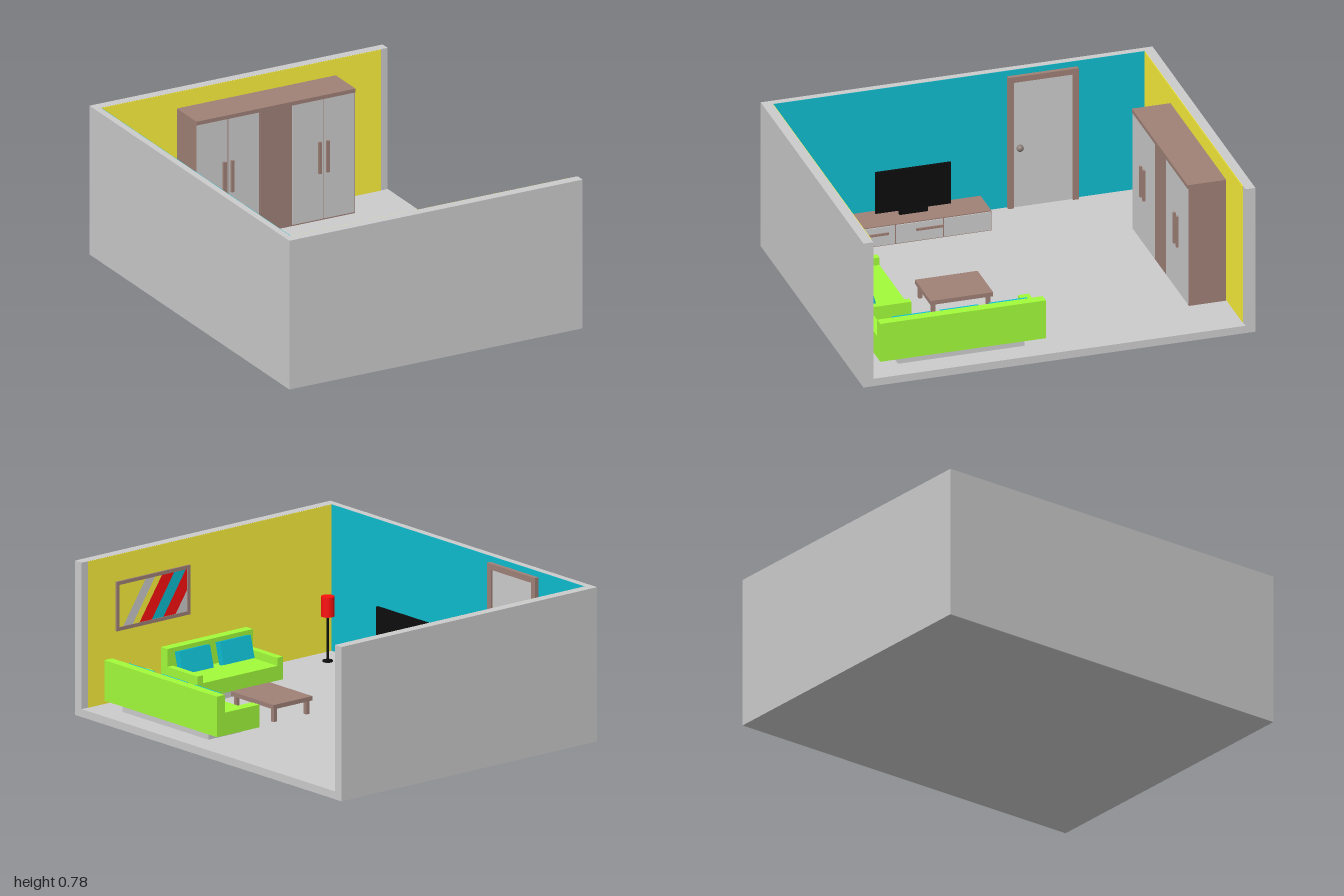
import * as THREE from 'three';

const mat = (color) => new THREE.MeshStandardMaterial({ color, roughness: 0.8 });
const GREY = mat(0xcccccc), TEAL = mat(0x0fbcd0), YELLOW = mat(0xfbf23c), GREEN = mat(0xa2fb3a);
const BROWN = mat(0x9f8177), RED = mat(0xfb1010), BLACK = mat(0x0d0d0d), METAL = mat(0x8d7f78);

const FLOOR = 0.04, TOP = 0.78;

// Box given by its min and max along each axis
function box(parent, name, material, [x0, x1], [y0, y1], [z0, z1]) {
  const mesh = new THREE.Mesh(new THREE.BoxGeometry(x1 - x0, y1 - y0, z1 - z0), material);
  mesh.position.set((x0 + x1) / 2, (y0 + y1) / 2, (z0 + z1) / 2);
  mesh.name = name;
  parent.add(mesh);
  return mesh;
}

function part(parent, name) {
  const g = new THREE.Group();
  g.name = name;
  parent.add(g);
  return g;
}

// Sofa centred on its own origin, backrest at +z
function sofa(parent, name, width, depth, arm, cushions) {
  const g = part(parent, name);
  const w = width / 2, d = depth / 2, back = d - 0.05;
  box(g, 'plinth', GREY, [-w + 0.1, w - 0.1], [FLOOR, 0.08], [-d + 0.03, d - 0.03]);
  box(g, 'seat', GREEN, [-w + arm, w - arm], [0.08, 0.155], [-d, back]);
  box(g, 'backrest', GREEN, [-w, w], [0.08, 0.285], [back, d]);
  for (const s of [-1, 1]) {
    const a = s * w, b = s * (w - arm);
    box(g, 'armrest', GREEN, [Math.min(a, b), Math.max(a, b)], [0.08, 0.195], [-d, back]);
  }
  for (const x of cushions) {
    const c = box(g, 'cushion', TEAL, [x - 0.098, x + 0.098], [0.155, 0.27], [back - 0.051, back - 0.016]);
    c.rotation.x = 0.26;
  }
  return g;
}

function buildRoom(root) {
  const g = part(root, 'room');
  box(g, 'floor', GREY, [-0.815, 0.815], [0, FLOOR], [-1, 1]);
  box(g, 'sideWall', GREY, [-0.815, -0.78], [FLOOR, TOP], [-0.95, 0.95]);
  box(g, 'sideWallPaint', TEAL, [-0.78, -0.777], [FLOOR, TOP - 0.001], [-0.95, 0.95]);
  for (const s of [-1, 1]) {
    const span = (a, b) => (s > 0 ? [a, b] : [-b, -a]);
    box(g, 'endWall', GREY, [-0.815, 0.815], [FLOOR, TOP], span(0.95, 1));
    box(g, 'endWallPaint', YELLOW, [-0.777, 0.775], [FLOOR, TOP - 0.001], span(0.947, 0.95));
  }
}

function buildDoor(root) {
  const g = part(root, 'door');
  const x = [-0.777, -0.755];
  box(g, 'doorFrameSide', BROWN, x, [FLOOR, 0.75], [-0.605, -0.575]);
  box(g, 'doorFrameSide', BROWN, x, [FLOOR, 0.75], [-0.273, -0.245]);
  box(g, 'doorFrameTop', BROWN, x, [0.72, 0.75], [-0.575, -0.273]);
  box(g, 'doorPanel', GREY, [-0.777, -0.767], [FLOOR, 0.72], [-0.575, -0.273]);
  const knob = new THREE.Mesh(new THREE.SphereGeometry(0.018, 20, 14), METAL);
  knob.name = 'doorKnob';
  knob.position.set(-0.762, 0.358, -0.307);
  g.add(knob);
}

function buildWardrobe(root) {
  const g = part(root, 'wardrobe');
  const x0 = -0.36, step = 0.884 / 5;
  box(g, 'wardrobeBody', BROWN, [x0, x0 + 0.884], [FLOOR, 0.695], [-0.945, -0.755]);
  box(g, 'wardrobeTop', BROWN, [x0, x0 + 0.884], [0.675, 0.695], [-0.755, -0.748]);
  // Five bays: a plain middle one between two pairs of doors
  for (let i = 0; i < 5; i++) {
    const a = x0 + i * step, b = a + step;
    box(g, 'wardrobeDoor', i === 2 ? BROWN : GREY, [a + 0.004, b - 0.004], [0.048, 0.675], [-0.755, -0.75]);
    if (i === 2) continue;
    const h = i % 3 === 0 ? b - 0.022 : a + 0.022;
    box(g, 'wardrobeHandle', BROWN, [h - 0.008, h + 0.008], [0.29, 0.455], [-0.75, -0.738]);
  }
}

function buildMediaCorner(root) {
  const g = part(root, 'mediaConsole');
  box(g, 'consoleBody', BROWN, [-0.73, -0.56], [FLOOR, 0.148], [-0.095, 0.64]);
  for (let i = 0; i < 3; i++) {
    const z = -0.095 + i * 0.245;
    box(g, 'consoleDoor', GREY, [-0.56, -0.555], [0.045, 0.143], [z + 0.004, z + 0.241]);
  }
  for (const z of [0.22, 0.5]) box(g, 'consoleHandle', BROWN, [-0.555, -0.548], [0.1, 0.112], [z - 0.07, z + 0.07]);

  const tv = part(root, 'television');
  box(tv, 'screen', BLACK, [-0.664, -0.652], [0.17, 0.392], [0.08, 0.465]);
  box(tv, 'screenStand', BLACK, [-0.668, -0.648], [0.148, 0.17], [0.2, 0.345]);

  // Floor lamp with a drum shade
  const lamp = part(root, 'lamp');
  const round = (name, material, r, y0, y1) => {
    const m = new THREE.Mesh(new THREE.CylinderGeometry(r, r, y1 - y0, 32), material);
    m.name = name;
    m.position.set(-0.64, (y0 + y1) / 2, 0.815);
    lamp.add(m);
  };
  round('lampShade', RED, 0.033, 0.27, 0.37);
  round('lampPole', BLACK, 0.006, FLOOR, 0.27);
  round('lampBase', BLACK, 0.025, FLOOR, 0.047);
}

function buildCoffeeTable(root) {
  const g = part(root, 'coffeeTable');
  box(g, 'tableTop', BROWN, [0.015, 0.262], [0.108, 0.13], [0.16, 0.48]);
  for (const x of [0.025, 0.232]) {
    for (const z of [0.17, 0.45]) box(g, 'tableLeg', BROWN, [x, x + 0.02], [FLOOR, 0.108], [z, z + 0.02]);
  }
}

function buildPicture(root) {
  const g = part(root, 'wallPicture');
  const z = [0.938, 0.947], X = [0.13, 0.6], Y = [0.395, 0.645], t = 0.018;
  for (const y of [Y[0], Y[1] - t]) box(g, 'pictureFrame', BROWN, X, [y, y + t], z);
  for (const x of [X[0], X[1] - t]) box(g, 'pictureFrame', BROWN, [x, x + t], [Y[0] + t, Y[1] - t], z);
  box(g, 'pictureBacking', GREY, [X[0] + t, X[1] - t], [Y[0] + t, Y[1] - t], [0.943, 0.947]);
  // Slanted stripes in unit coordinates, facing into the room
  const stripes = [
    [YELLOW, [[0, 0], [0.06, 0], [0.39, 1], [0, 1]]],
    [YELLOW, [[0.2, 0], [0.3, 0], [0.63, 1], [0.53, 1]]],
    [RED, [[0.3, 0], [0.48, 0], [0.81, 1], [0.63, 1]]],
    [TEAL, [[0.48, 0], [0.65, 0], [0.98, 1], [0.81, 1]]],
    [RED, [[0.65, 0], [0.83, 0], [1, 0.51], [1, 1], [0.98, 1]]],
  ];
  for (const [material, pts] of stripes) {
    const shape = new THREE.Shape(pts.map(([u, v]) => new THREE.Vector2(u, v)));
    const m = new THREE.Mesh(new THREE.ShapeGeometry(shape), material);
    m.name = 'pictureStripe';
    m.scale.set(X[1] - X[0] - 2 * t, Y[1] - Y[0] - 2 * t, 1);
    m.rotation.y = Math.PI;
    m.position.set(X[1] - t, Y[0] + t, 0.942);
    g.add(m);
  }
}

export function createModel() {
  const root = new THREE.Group();
  root.name = 'livingRoom';
  buildRoom(root);
  buildDoor(root);
  buildWardrobe(root);
  buildMediaCorner(root);
  buildCoffeeTable(root);
  buildPicture(root);

  const large = sofa(root, 'threeSeatSofa', 0.845, 0.27, 0.055, [-0.24, 0.005, 0.255]);
  large.rotation.y = Math.PI / 2;
  large.position.set(0.59, 0, 0.4625);
  const small = sofa(root, 'twoSeatSofa', 0.545, 0.275, 0.036, [-0.13, 0.13]);
  small.position.set(0.0925, 0, 0.7475);
  return root;
}
